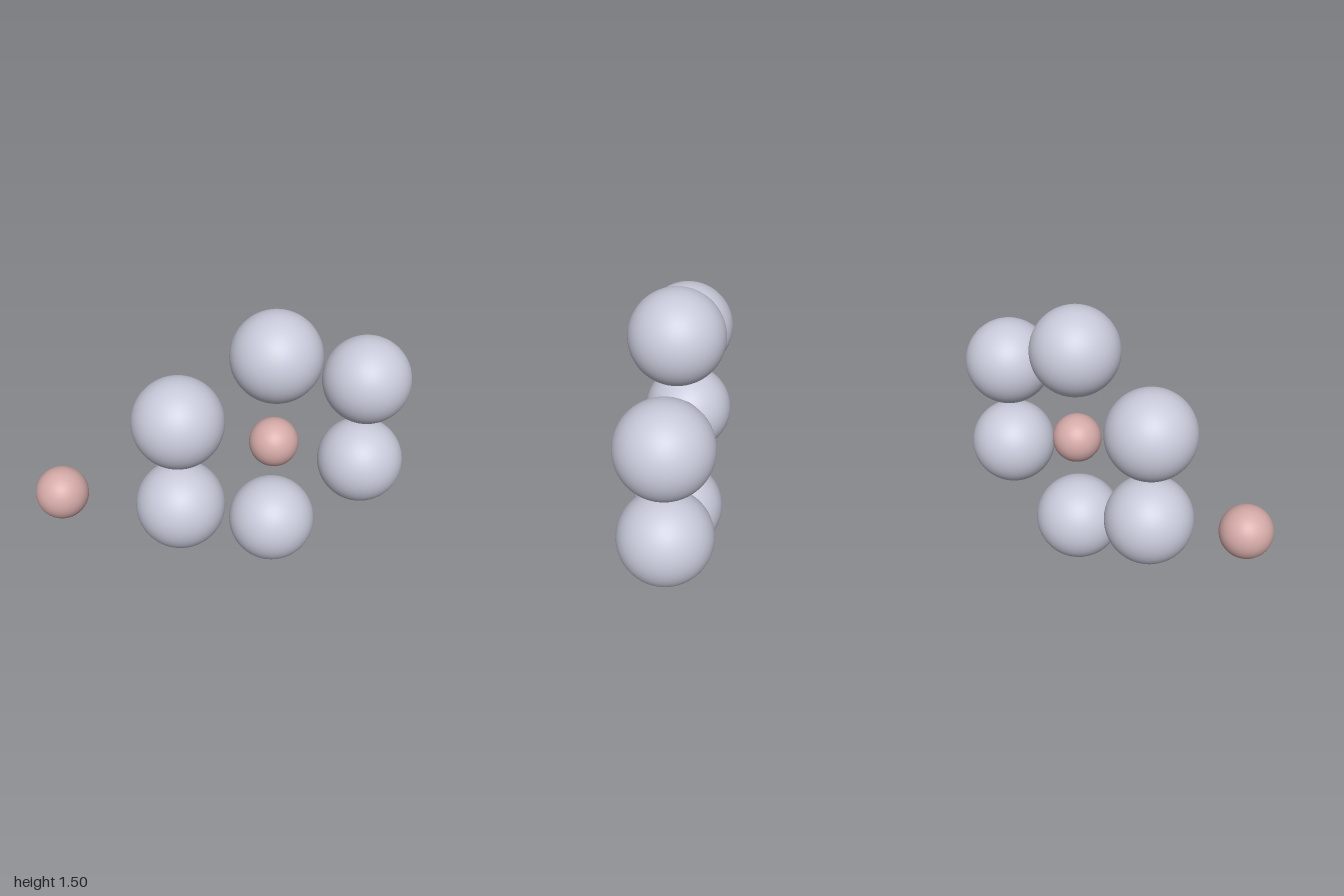
import * as THREE from 'three';

export function createModel() {
  const model = new THREE.Group();
  const paleBlue = new THREE.MeshStandardMaterial({ color: 0xc8cada });
  const pink = new THREE.MeshStandardMaterial({ color: 0xd4aaa7 });
  const largeBall = new THREE.SphereGeometry(0.231, 64, 48);
  const smallBall = new THREE.SphereGeometry(0.128, 64, 48);

  const centreX = 0.248, centreY = 0.755, spacing = 0.518;

  function addBall(name, geometry, material, x, y) {
    const ball = new THREE.Mesh(geometry, material);
    ball.name = name;
    ball.position.set(x, y, 0);
    model.add(ball);
  }

  // Ring of six large balls: one above, one below, two on each side
  for (const side of [-1, 1]) {
    const level = side > 0 ? 'Upper' : 'Lower';
    addBall(`ring${level}Middle`, largeBall, paleBlue, centreX, centreY + side * spacing);
    addBall(`ring${level}Left`, largeBall, paleBlue, centreX + spacing, centreY + side * spacing / 2);
    addBall(`ring${level}Right`, largeBall, paleBlue, centreX - spacing, centreY + side * spacing / 2);
  }

  // Small balls: one in the middle of the ring, one set apart beside it
  addBall('centreBall', smallBall, pink, centreX, centreY);
  addBall('outerBall', smallBall, pink, -0.872, centreY);

  return model;
}
